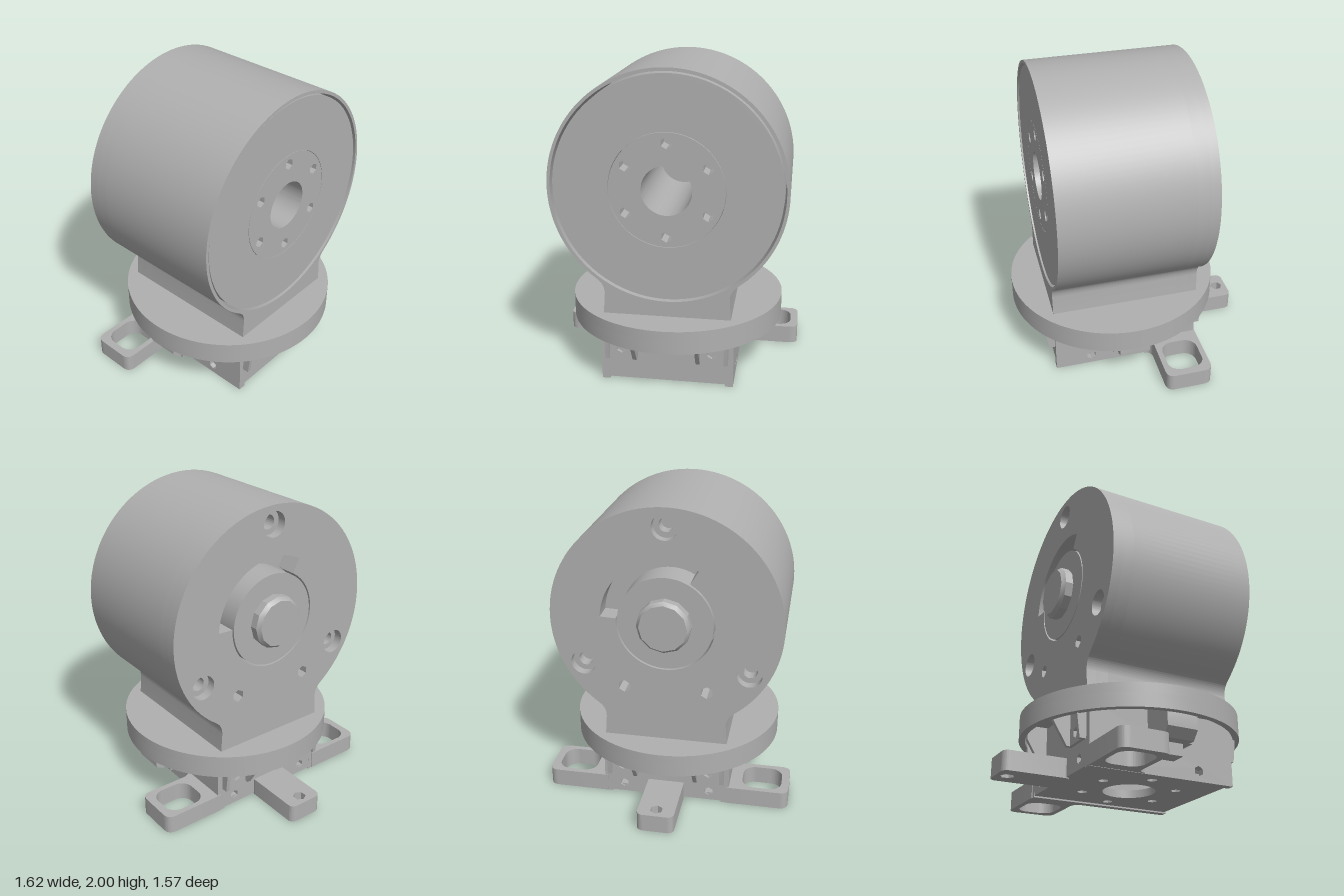
import * as THREE from 'three';
import { toCreasedNormals } from 'three/addons/utils/BufferGeometryUtils.js';

export function createModel() {
  const model = new THREE.Group();
  model.name = 'geared actuator on swivel base';
  const grey = new THREE.MeshStandardMaterial({ color: 0xb0b0b0 });
  grey.name = 'plain grey';
  const TAU = Math.PI * 2;
  const axisY = 1.27;      // height of the drum axis
  const baseZ = 0.09;      // centre of the turntable and base

  const add = (name, geometry, parent = model) => {
    const mesh = new THREE.Mesh(toCreasedNormals(geometry, 0.5), grey);
    mesh.name = name;
    parent.add(mesh);
    return mesh;
  };
  const extrude = (shape, depth) =>
    new THREE.ExtrudeGeometry(shape, { depth, bevelEnabled: false, curveSegments: 48 });
  // shape in (x, y), running from z0 to z1
  const alongZ = (shape, z0, z1) => extrude(shape, z1 - z0).translate(0, 0, z0);
  // shape in (z, y), running from x0 to x1
  const alongX = (shape, x0, x1) => extrude(shape, x1 - x0).rotateY(-Math.PI / 2).translate(x1, 0, 0);
  // shape in (x, z), running from y0 to y1
  const alongY = (shape, y0, y1) => extrude(shape, y1 - y0).rotateX(Math.PI / 2).translate(0, y1, 0);
  const box = (x0, x1, y0, y1, z0, z1) => new THREE.BoxGeometry(x1 - x0, y1 - y0, z1 - z0)
    .translate((x0 + x1) / 2, (y0 + y1) / 2, (z0 + z1) / 2);

  const polygon = (points) => new THREE.Shape(points.map(([a, b]) => new THREE.Vector2(a, b)));
  const circle = (a, b, r) => new THREE.Shape().absarc(a, b, r, 0, TAU, false);
  const ring = (n, r, a, b, offset = 0) => Array.from({ length: n }, (_, i) => {
    const t = offset + i * TAU / n;
    return [a + r * Math.cos(t), b + r * Math.sin(t)];
  });
  const hexagon = (a, b, r) => polygon(ring(6, r, a, b, Math.PI / 6));
  const roundRect = (a0, b0, a1, b1, r) => new THREE.Shape()
    .absarc(a1 - r, b1 - r, r, 0, TAU / 4, false)
    .absarc(a0 + r, b1 - r, r, TAU / 4, TAU / 2, false)
    .absarc(a0 + r, b0 + r, r, TAU / 2, TAU * 0.75, false)
    .absarc(a1 - r, b0 + r, r, TAU * 0.75, TAU, false);
  const pierce = (shape, ...holes) => { shape.holes.push(...holes); return shape; };

  // Drum housing with its pedestal foot
  const housingOutline = () => {
    const t = Math.atan2(0.683 - axisY, 0.435);
    return new THREE.Shape().moveTo(-0.4, 0.45).lineTo(0.4, 0.45).lineTo(0.39, 0.59)
      .quadraticCurveTo(0.39, 0.65, 0.435, 0.683)
      .absarc(0, axisY, 0.73, t, Math.PI - t, false)
      .quadraticCurveTo(-0.39, 0.65, -0.39, 0.59);
  };
  const housing = new THREE.Group();
  housing.name = 'drumHousing';
  model.add(housing);
  add('drumShell', alongZ(pierce(housingOutline(), circle(0, axisY, 0.71)), -0.26, 0.575), housing);

  // Back plate in two layers: counterbores outside, narrow bolt holes inside
  const backOpening = () => new THREE.Shape()
    .absarc(0, axisY, 0.41, 0.05, TAU / 3, false)
    .absarc(0, axisY, 0.31, TAU / 3, TAU + 0.05, false);
  [[-0.4, -0.34, 0.08], [-0.34, -0.26, 0.045]].forEach(([z0, z1, r]) => {
    const plate = pierce(housingOutline(), backOpening(),
      ...ring(3, 0.61, 0, axisY, TAU / 4).map(([x, y]) => circle(x, y, r)),
      ...[-0.265, 0.265].map((x) => hexagon(x, 0.82, 0.042)));
    add('backPlate', alongZ(plate, z0, z1), housing);
  });
  add('innerBulkhead', alongZ(circle(0, axisY, 0.712), -0.2, -0.17), housing);

  // Front rotor face: outer ring and bolted hub around a deep bore
  add('rotorFace', alongZ(pierce(circle(0, axisY, 0.697), circle(0, axisY, 0.357)), 0.45, 0.565));
  const hub = pierce(circle(0, axisY, 0.354), circle(0, axisY, 0.155),
    ...ring(6, 0.29, 0, axisY, Math.PI / 6).map(([x, y]) => hexagon(x, y, 0.036)));
  add('rotorHub', alongZ(hub, 0.45, 0.565));
  add('rotorBacking', alongZ(pierce(circle(0, axisY, 0.7), circle(0, axisY, 0.155)), 0.4, 0.45));
  add('boreWall', alongZ(pierce(circle(0, axisY, 0.19), circle(0, axisY, 0.155)), -0.17, 0.4));

  // Rear shaft: flush flange, collar and chamfered nut
  add('shaftFlange', alongZ(circle(0, axisY, 0.3), -0.4, -0.2));
  const nutProfile = [[0, 0], [0.17, 0], [0.17, 0.05], [0.15, 0.075], [0, 0.075]]
    .map(([r, h]) => new THREE.Vector2(r, h));
  add('shaftNut', new THREE.LatheGeometry(nutProfile, 12).rotateX(-Math.PI / 2).translate(0, axisY, -0.4));

  // Turntable: a shallow cup, open underneath
  add('turntableTop', alongY(circle(0, baseZ, 0.695), 0.4, 0.46));
  add('turntableRim', alongY(pierce(circle(0, baseZ, 0.695), circle(0, baseZ, 0.655)), 0.31, 0.4));

  // Hollow base box
  const base = new THREE.Group();
  base.name = 'base';
  model.add(base);
  const floor = pierce(polygon([[-0.38, -0.38], [0.38, -0.38], [0.38, 0.565], [-0.38, 0.565]]),
    circle(0, baseZ, 0.165),
    ...ring(6, 0.29, 0, baseZ).map(([x, z]) => hexagon(x, z, 0.032)));
  add('baseFloor', alongY(floor, 0.01, 0.06), base);
  const sideWall = pierce(polygon([[-0.39, 0], [0.575, 0], [0.575, 0.4], [-0.39, 0.4]]),
    hexagon(0.335, 0.065, 0.032));
  add('baseRightWall', alongX(sideWall, -0.42, -0.37), base);
  add('baseLeftWall', alongX(sideWall, 0.37, 0.42), base);
  add('baseFrontWall', box(-0.37, 0.37, 0.05, 0.4, 0.525, 0.574), base);
  const rearWall = pierce(polygon([[-0.37, 0.01], [0.37, 0.01], [0.37, 0.4], [-0.37, 0.4]]),
    ...[-0.287, 0.287].map((x) => hexagon(x, 0.075, 0.03)));
  add('baseRearWall', alongZ(rearWall, -0.389, -0.34), base);

  // Mounting arms: slotted at the sides, a single hole at the back
  [-1, 1].forEach((s) => {
    const arm = new THREE.Shape().moveTo(s * 0.4, -0.395).lineTo(s * 0.75, -0.395)
      .quadraticCurveTo(s * 0.81, -0.395, s * 0.81, -0.335).lineTo(s * 0.81, -0.14)
      .quadraticCurveTo(s * 0.81, -0.085, s * 0.75, -0.085).lineTo(s * 0.49, -0.085)
      .quadraticCurveTo(s * 0.43, -0.085, s * 0.43, -0.035).lineTo(s * 0.4, -0.035);
    const [x0, x1] = s > 0 ? [0.5, 0.76] : [-0.76, -0.5];
    pierce(arm, roundRect(x0, -0.36, x1, -0.12, 0.08));
    add(s > 0 ? 'leftArm' : 'rightArm', alongY(arm, 0.002, 0.122), base);
  });
  const backArm = pierce(roundRect(-0.12, -0.78, 0.12, -0.36, 0.04), hexagon(0, -0.71, 0.042));
  add('backArm', alongY(backArm, 0.002, 0.122), base);

  // Four gusseted brackets hanging from the turntable, front and back
  const cheek = (reach) => polygon([[0.484, 0.165], [0.525, 0.165], [0.484 + reach, 0.31],
    [0.484 + reach, 0.4], [0.484, 0.4]]);
  [0, Math.PI].forEach((turn) => {
    const pair = new THREE.Group();
    pair.name = turn ? 'backBrackets' : 'frontBrackets';
    pair.position.z = baseZ;
    pair.rotation.y = turn;
    model.add(pair);
    [-1, 1].forEach((s) => {
      const mid = s * 0.287;
      const plate = pierce(polygon([[mid - 0.09, 0.165], [mid + 0.09, 0.165], [mid + 0.09, 0.4], [mid - 0.09, 0.4]]),
        hexagon(mid, 0.23, 0.032));
      add('bracketPlate', alongZ(plate, 0.484, 0.505), pair);
      const inner = s * 0.2, outer = s * 0.375;
      add('innerCheek', alongX(cheek(0.13), inner - 0.013, inner + 0.013), pair);
      add('outerCheek', alongX(cheek(0.06), outer - 0.013, outer + 0.013), pair);
    });
  });

  // Side clips under the turntable
  [-1, 1].forEach((s) => {
    const bottom = s > 0 ? 0.205 : 0.175;
    const clip = polygon([[0.4, bottom], [0.6, bottom], [0.645, 0.23], [0.645, 0.315], [0.62, 0.4], [0.4, 0.4]]
      .map(([x, y]) => [s * x, y]));
    add('sideClip', alongZ(clip, baseZ - 0.1, baseZ + 0.1));
    add('clipLip', box(s > 0 ? 0.4 : -0.55, s > 0 ? 0.55 : -0.4, 0.175, 0.21, baseZ - 0.12, baseZ + 0.12));
  });
  add('latchTongue', box(-0.53, -0.4, 0.1, 0.18, baseZ - 0.07, baseZ + 0.07));

  return model;
}
